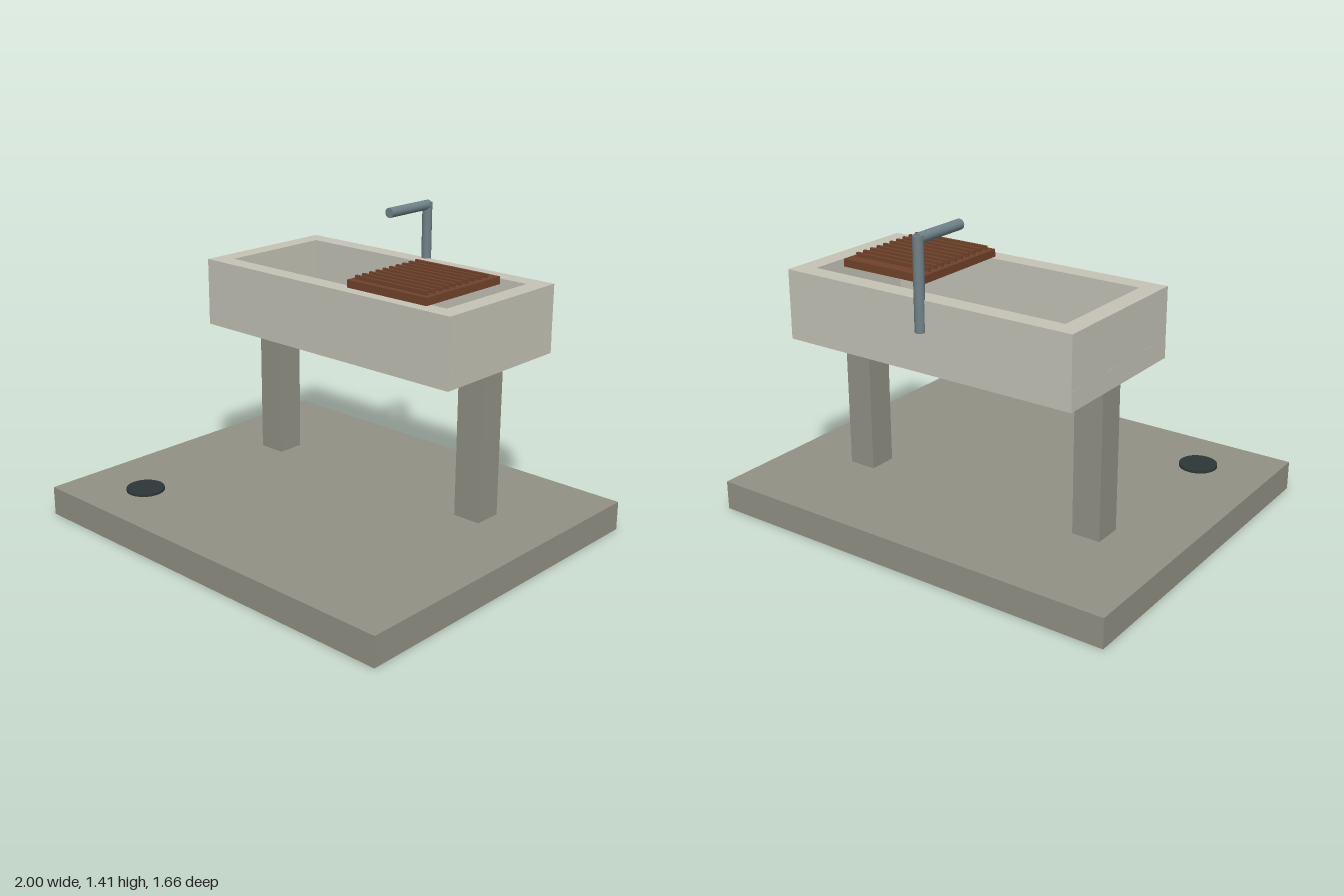
import * as THREE from 'three';

const material = (name, color) => {
  const m = new THREE.MeshStandardMaterial({ color });
  m.name = name;
  return m;
};

export function createModel() {
  const model = new THREE.Group();
  model.name = 'outdoorSink';

  const concrete = material('grey concrete', 0x929185);
  const stone = material('pale stone', 0xc4c3b6);
  const wood = material('brown wood', 0x71432b);
  const metal = material('blue grey metal', 0x6f8288);
  const iron = material('dark iron', 0x2d3737);

  const add = (name, geometry, mat, x, y, z) => {
    const mesh = new THREE.Mesh(geometry, mat);
    mesh.name = name;
    mesh.position.set(x, y, z);
    model.add(mesh);
    return mesh;
  };
  // Box given by its lower and upper limits on each axis
  const box = (name, mat, [x0, x1], [y0, y1], [z0, z1]) =>
    add(name, new THREE.BoxGeometry(x1 - x0, y1 - y0, z1 - z0), mat,
      (x0 + x1) / 2, (y0 + y1) / 2, (z0 + z1) / 2);

  // Ground slab and floor drain
  box('slab', concrete, [-1, 1], [0, 0.135], [-0.83, 0.83]);
  add('floorDrain', new THREE.CylinderGeometry(0.088, 0.088, 0.012, 32), iron, -0.668, 0.141, 0.552);

  // Legs and basin end walls, mirrored left and right
  for (const [side, s] of [['left', 1], ['right', -1]]) {
    add(side + 'Leg', new THREE.BoxGeometry(0.133, 0.692, 0.133), concrete, s * 0.613, 0.481, -0.276);
    add(side + 'Wall', new THREE.BoxGeometry(0.085, 0.228, 0.722), stone, s * 0.677, 1.026, -0.278);
  }

  // Basin floor, front wall and back wall
  box('basinFloor', stone, [-0.72, 0.72], [0.826, 0.912], [-0.639, 0.083]);
  box('frontWall', stone, [-0.635, 0.635], [0.912, 1.14], [-0.003, 0.083]);
  box('backWall', stone, [-0.635, 0.635], [0.912, 1.14], [-0.639, -0.554]);

  // Washboard with raised ribs
  box('washboard', wood, [0.111, 0.552], [1.14, 1.175], [-0.471, 0.026]);
  for (let i = 0; i < 10; i++) {
    const z = -0.009 - i * 0.0443;
    box('washboardRib' + (i + 1), wood, [0.132, 0.531], [1.175, 1.193], [z - 0.0065, z + 0.0065]);
  }

  // Tap: upright pipe behind the basin and a spout reaching forward
  add('tapPipe', new THREE.CylinderGeometry(0.023, 0.023, 0.4, 16), metal, 0, 1.203, -0.641);
  add('tapSpout', new THREE.CylinderGeometry(0.023, 0.023, 0.277, 16), metal, 0, 1.39, -0.51)
    .rotation.x = Math.PI / 2;

  return model;
}
